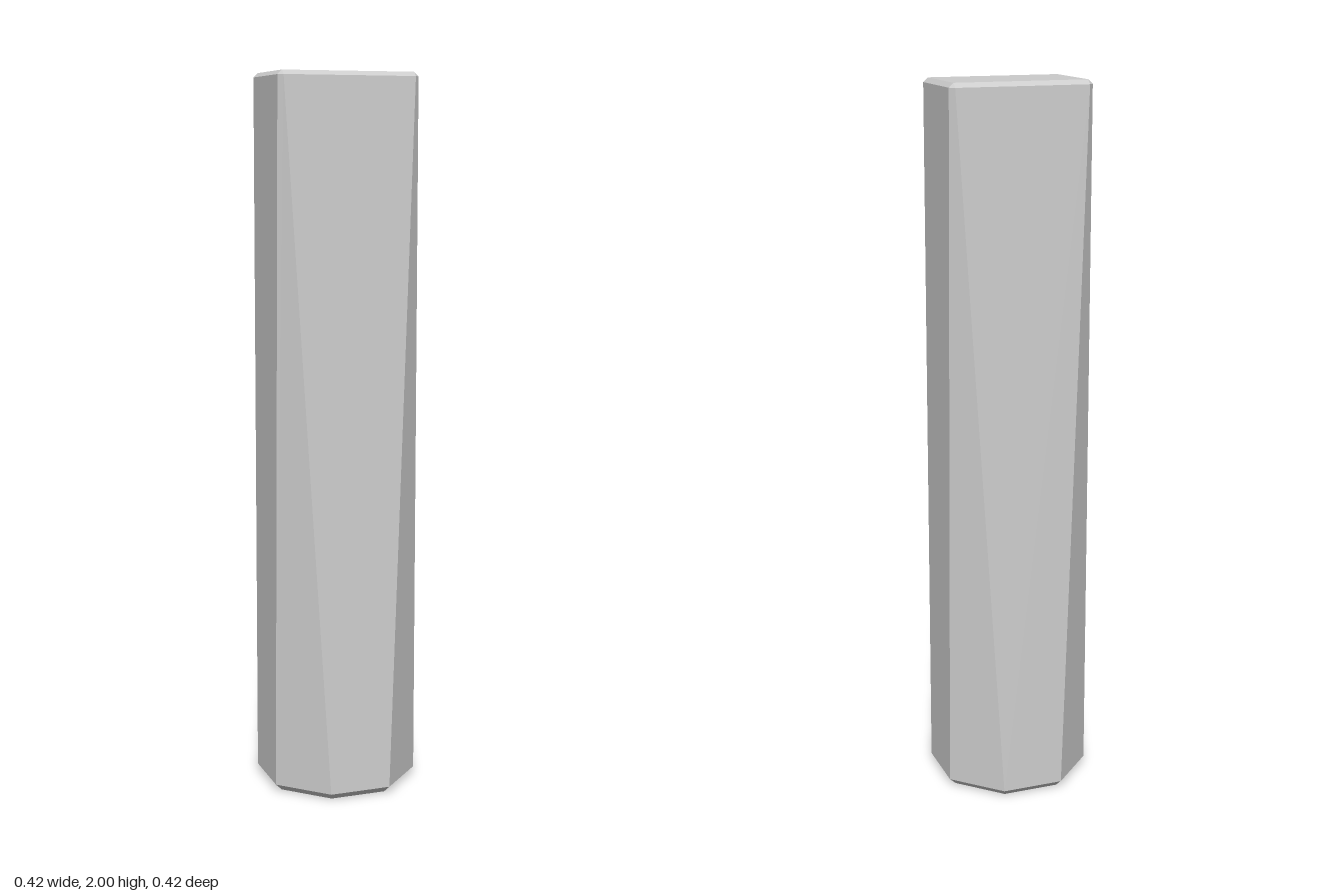
import * as THREE from 'three';

// Eight-sided section: half extents hx, hz; the front/back flats end at cx, the side flats at cz
function section(y, hx, hz, cx, cz) {
  return [[-cx, hz], [cx, hz], [hx, cz], [hx, -cz], [cx, -hz], [-cx, -hz], [-hx, -cz], [-hx, cz]]
    .map(([x, z]) => new THREE.Vector3(x, y, z));
}

// Joins the sections with flat faces and closes both ends
function loft(rings) {
  const points = [];
  const tri = new THREE.Triangle();
  const add = (a, b, c) => {
    if (tri.set(a, b, c).getArea() > 1e-8) points.push(a, b, c);
  };
  const top = rings[rings.length - 1], bottom = rings[0];
  const bottomCentre = new THREE.Vector3(0, bottom[0].y, 0);
  const topCentre = new THREE.Vector3(0, top[0].y, 0);
  for (let i = 0; i < 8; i++) {
    const j = (i + 1) % 8;
    for (let k = 0; k < rings.length - 1; k++) {
      const lo = rings[k], hi = rings[k + 1];
      add(lo[i], lo[j], hi[j]);
      add(lo[i], hi[j], hi[i]);
    }
    add(bottomCentre, bottom[j], bottom[i]);
    add(topCentre, top[i], top[j]);
  }
  const geometry = new THREE.BufferGeometry().setFromPoints(points);
  geometry.computeVertexNormals();
  return geometry;
}

export function createModel() {
  const group = new THREE.Group();
  group.name = 'taperedHandle';

  // Octagonal foot narrowing to a flat rectangular end, bevelled at both ends
  const shaft = new THREE.Mesh(
    loft([
      section(0, 0.19, 0.19, 0.079, 0.079),
      section(0.02, 0.21, 0.21, 0.087, 0.087),
      section(1.988, 0.2, 0.121, 0.187, 0.108),
      section(2, 0.187, 0.108, 0.187, 0.108),
    ]),
    new THREE.MeshStandardMaterial({ color: 0xcccccc, flatShading: true })
  );
  shaft.name = 'shaft';
  group.add(shaft);
  return group;
}
